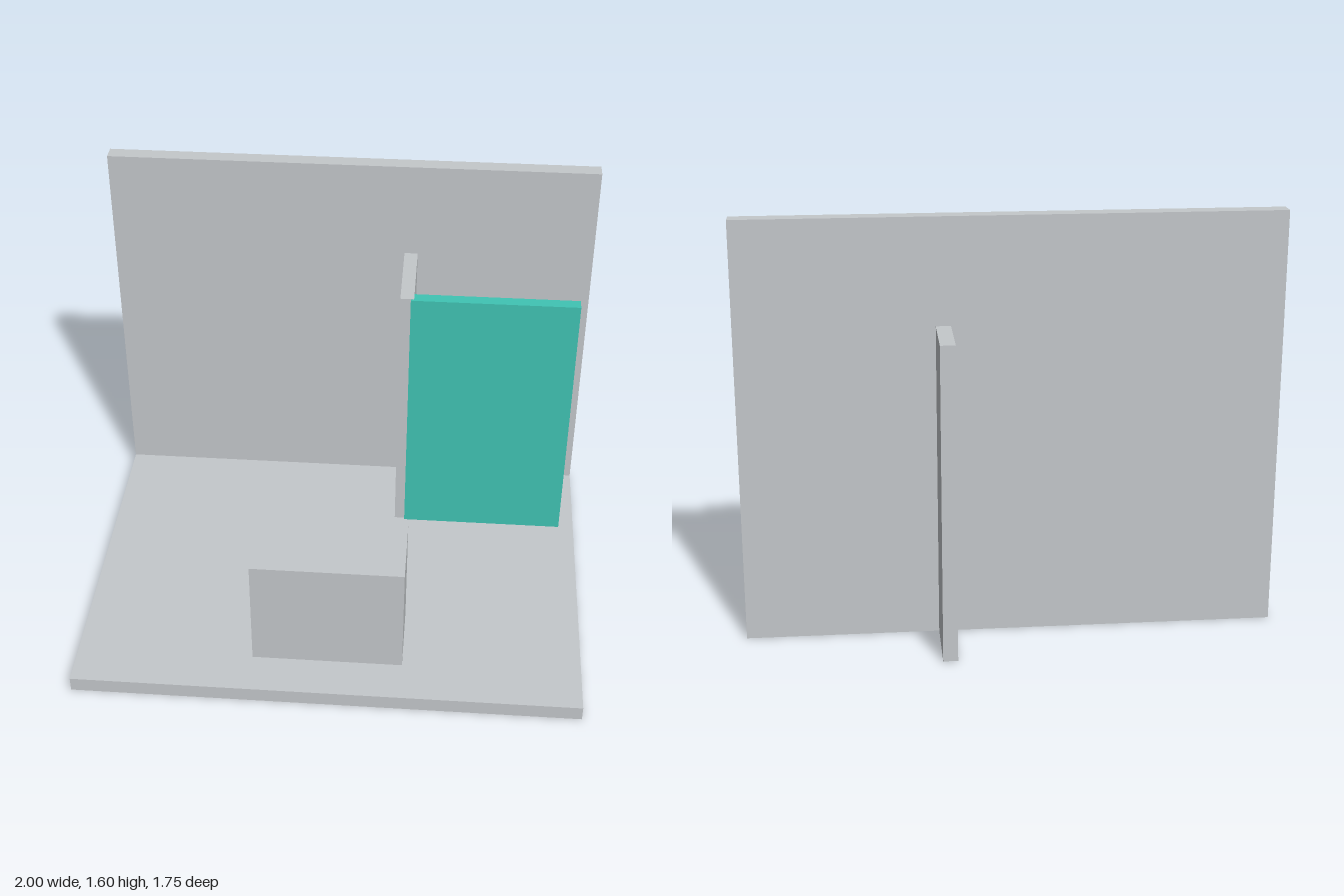
import * as THREE from 'three';

export function createModel() {
  const model = new THREE.Group();
  const grey = new THREE.MeshStandardMaterial({ name: 'light grey', color: 0xc4c8cb });
  const teal = new THREE.MeshStandardMaterial({ name: 'teal', color: 0x40c4b4 });

  // Box spanning [min, max] on each axis
  const slab = (name, material, [x0, x1], [y0, y1], [z0, z1]) => {
    const mesh = new THREE.Mesh(new THREE.BoxGeometry(x1 - x0, y1 - y0, z1 - z0), material);
    mesh.position.set((x0 + x1) / 2, (y0 + y1) / 2, (z0 + z1) / 2);
    mesh.name = name;
    model.add(mesh);
  };

  // Floor meets the front face of the wall
  slab('floor', grey, [-1, 1], [0, 0.06], [-0.555, 0.875]);
  slab('backWall', grey, [-1, 1], [0, 1.6], [-0.62, -0.555]);

  // Fin passing through the wall
  slab('divider', grey, [0.22, 0.275], [0, 1.2], [-0.875, -0.2]);

  // Door panel across the end of the fin, a hair lower so the tops stay clean
  slab('doorPanel', teal, [0.262, 0.937], [0.03, 1.199], [-0.24, -0.19]);

  // Free-standing block
  slab('block', grey, [-0.3, 0.295], [0.06, 0.53], [0.4, 0.7]);

  return model;
}
